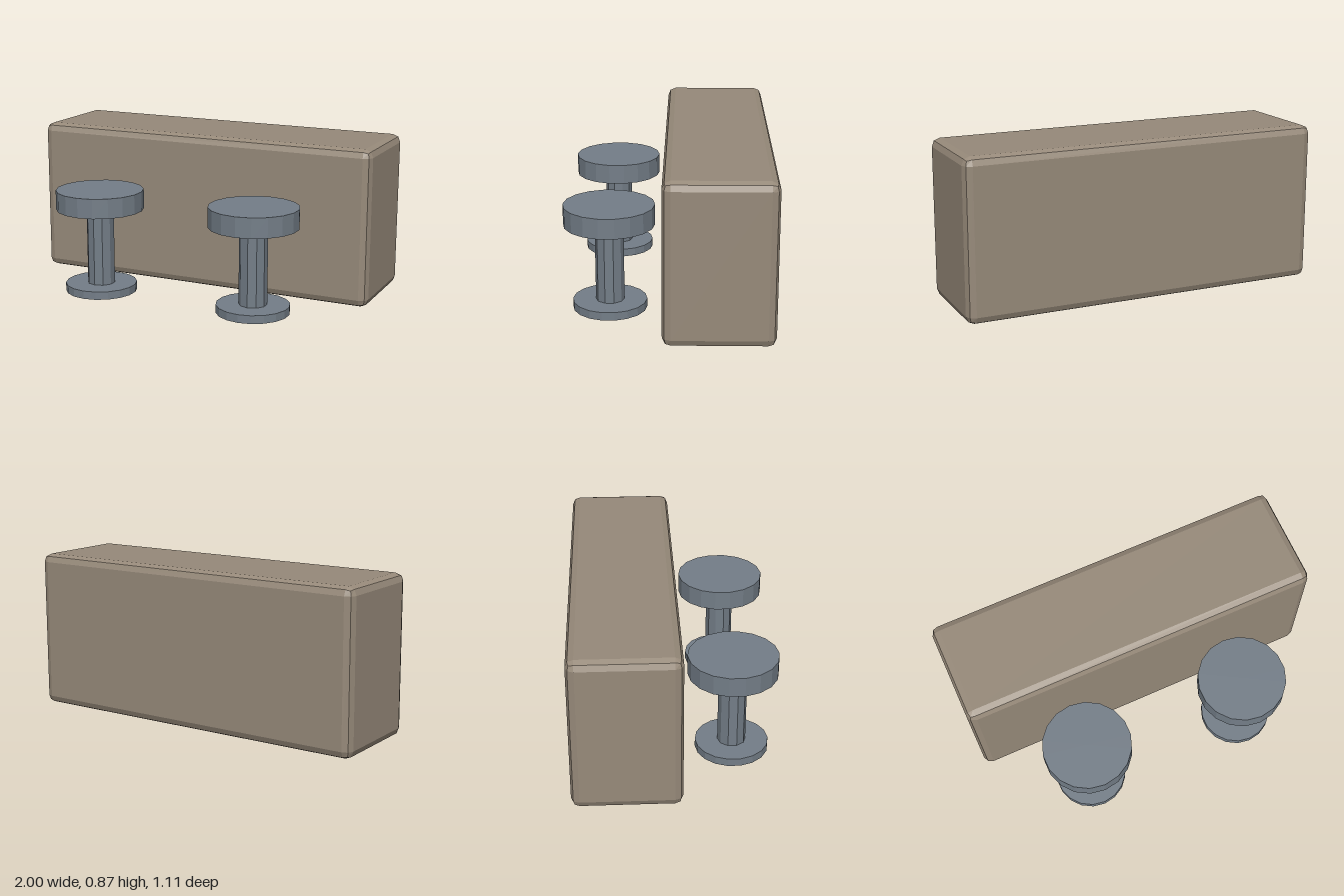
import * as THREE from 'three';
import { RoundedBoxGeometry } from 'three/addons/geometries/RoundedBoxGeometry.js';

const brown = new THREE.MeshStandardMaterial({ name: 'counter brown', color: 0x978a7a, flatShading: true });
const slate = new THREE.MeshStandardMaterial({ name: 'stool slate', color: 0x747e88, flatShading: true });

// Upright cylinder spanning y0 to y1
function disc(name, radius, y0, y1, sides) {
  const mesh = new THREE.Mesh(new THREE.CylinderGeometry(radius, radius, y1 - y0, sides), slate);
  mesh.name = name;
  mesh.position.y = (y0 + y1) / 2;
  return mesh;
}

// Stool: floor plate, post and thick round seat
function createStool(name, x) {
  const stool = new THREE.Group();
  stool.name = name;
  stool.add(
    disc('base', 0.2, 0, 0.045, 18),
    disc('post', 0.077, 0.02, 0.49, 10),
    disc('seat', 0.244, 0.47, 0.58, 18)
  );
  stool.position.set(x, 0, 0.311);
  return stool;
}

export function createModel() {
  const model = new THREE.Group();
  model.name = 'counterWithStools';

  // Counter block with softly chamfered edges
  const counter = new THREE.Mesh(new RoundedBoxGeometry(2, 0.868, 0.577, 1, 0.044), brown);
  counter.name = 'counter';
  counter.position.set(0, 0.434, -0.2665);
  model.add(counter);

  // Pair of stools in front of the counter
  model.add(createStool('leftStool', 0.465), createStool('rightStool', -0.465));
  return model;
}
